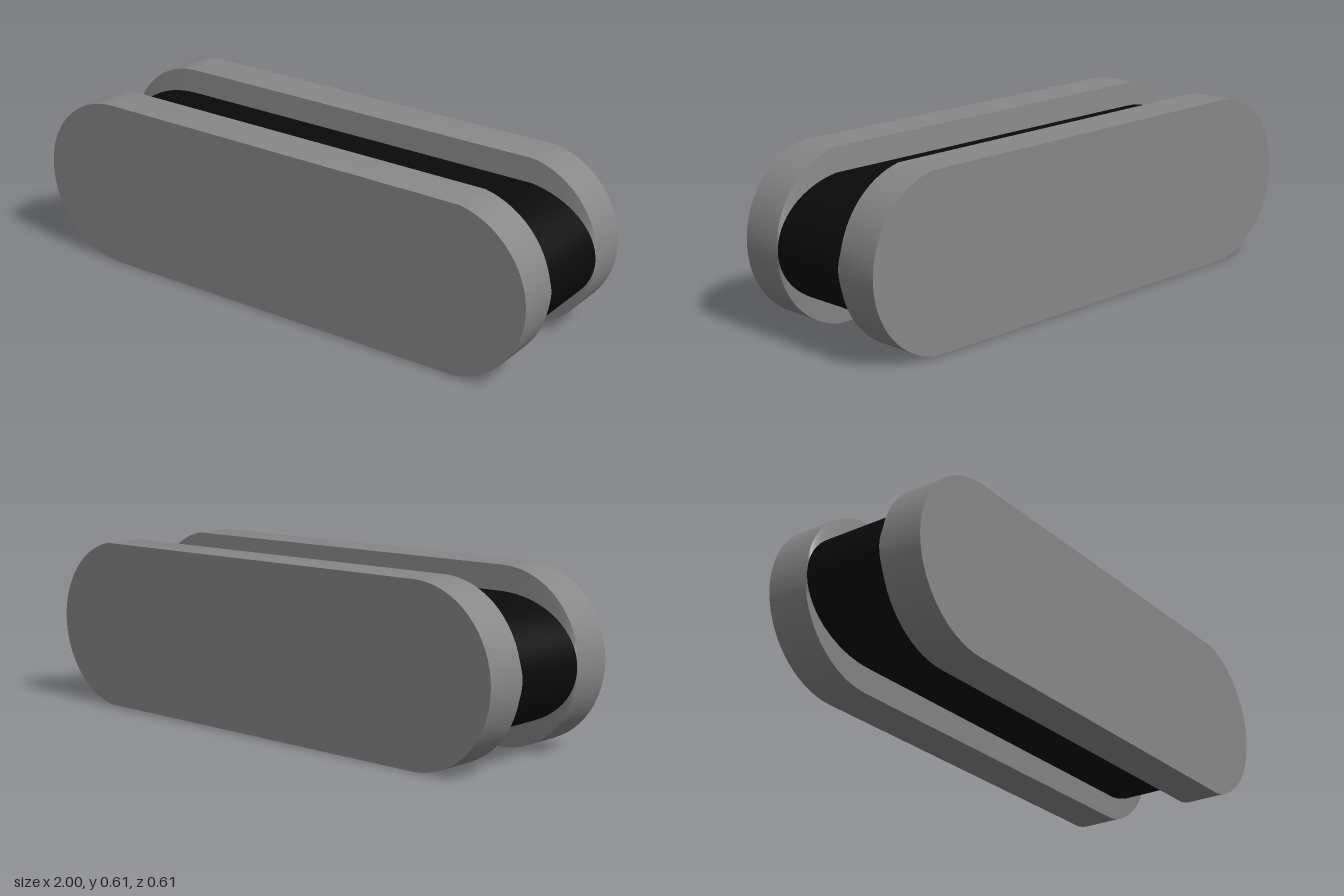
import * as THREE from 'three';
import { toCreasedNormals } from 'three/addons/utils/BufferGeometryUtils.js';

const R = 0.306;        // end radius of the rounded slab
const CX = 1 - R;       // centre of each end arc
const SEG = 32;         // segments per end arc

// Outline of the slab, counter-clockwise seen from the front;
// the left end arc stops a little short of the straight edges
const outline = [];
for (const [cx, from, to] of [[CX, -79.5, 79.5], [-CX, 90, 270]]) {
  for (let i = 0; i <= SEG; i++) {
    const a = THREE.MathUtils.degToRad(from + (to - from) * i / SEG);
    outline.push([cx + R * Math.cos(a), R * Math.sin(a)]);
  }
}

// Skin through rings [z, xScale, yScale], ordered front to back; scale 0 closes an end
function loft(rings) {
  const pos = [];
  const n = outline.length;
  const point = ([z, sx, sy], i) => {
    const [x, y] = outline[i % n];
    return [x * sx, y * sy + R, z];
  };
  for (let k = 0; k < rings.length - 1; k++) {
    const front = rings[k], back = rings[k + 1];
    for (let i = 0; i < n; i++) {
      const a = point(front, i), b = point(front, i + 1);
      const c = point(back, i), d = point(back, i + 1);
      if (front[1] > 0) pos.push(...a, ...c, ...b);
      if (back[1] > 0) pos.push(...b, ...c, ...d);
    }
  }
  const geo = new THREE.BufferGeometry();
  geo.setAttribute('position', new THREE.Float32BufferAttribute(pos, 3));
  return toCreasedNormals(geo, 0.3);
}

export function createModel() {
  const group = new THREE.Group();
  const grey = new THREE.MeshStandardMaterial({ color: 0x878787 });
  const black = new THREE.MeshStandardMaterial({ color: 0x0a0a0a, side: THREE.DoubleSide });
  const add = (name, geo, mat) => {
    const mesh = new THREE.Mesh(geo, mat);
    mesh.name = name;
    group.add(mesh);
  };

  const CORE = 0.718;   // core height relative to the plates

  // Plates: flat outer face, straight rim, inner face sloping in to the core
  const plate = [[0.307, 0, 0], [0.307, 1, 1], [0.154, 1, 1], [0.147, 1, CORE]];
  add('frontPlate', loft(plate), grey);
  add('backPlate', loft(plate.map(([z, sx, sy]) => [-z, sx, sy]).reverse()), grey);

  // Recessed band between the plates
  add('core', loft([[0.147, 1, CORE], [-0.147, 1, CORE]]), black);

  return group;
}
